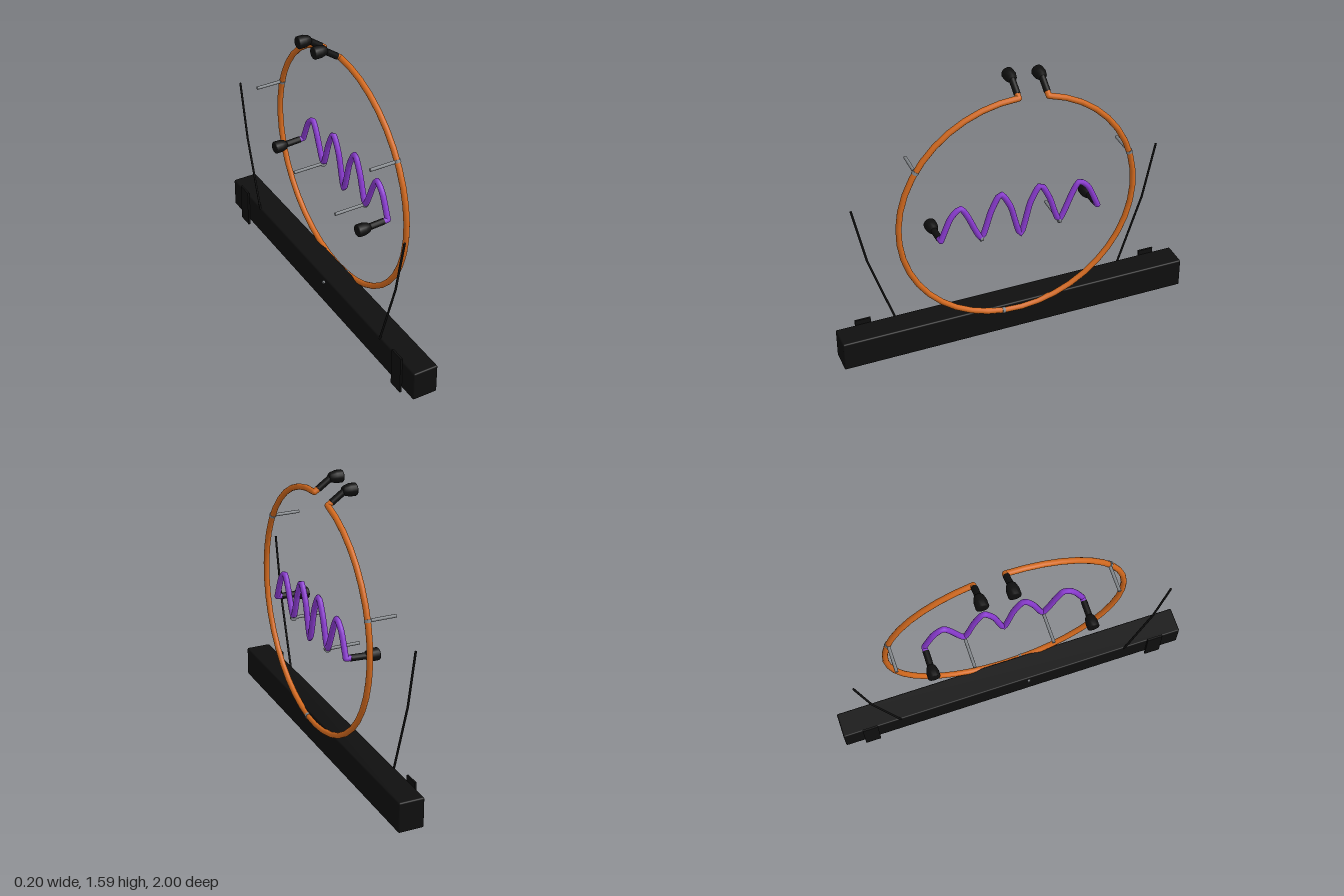
import * as THREE from 'three';
import { RoundedBoxGeometry } from 'three/addons/geometries/RoundedBoxGeometry.js';

const V = (x, y, z) => new THREE.Vector3(x, y, z);

export function createModel() {
  const model = new THREE.Group();
  const mat = (name, color) => {
    const m = new THREE.MeshStandardMaterial({ color });
    m.name = name;
    return m;
  };
  const black = mat('black', 0x0f0f0f);
  const orange = mat('orange', 0xd2691e);
  const purple = mat('purple', 0x8a3bd0);
  const grey = mat('grey', 0x808488);

  const add = (name, geometry, material, pos) => {
    const mesh = new THREE.Mesh(geometry, material);
    mesh.name = name;
    if (pos) mesh.position.copy(pos);
    model.add(mesh);
    return mesh;
  };
  // Straight rod between two points
  const rod = (name, a, b, r, material) => {
    const d = b.clone().sub(a);
    const mesh = add(name, new THREE.CylinderGeometry(r, r, d.length(), 12), material,
      a.clone().add(b).multiplyScalar(0.5));
    mesh.quaternion.setFromUnitVectors(V(0, 1, 0), d.normalize());
    return mesh;
  };
  const joint = (name, p, r, material) => add(name, new THREE.SphereGeometry(r, 12, 8), material, p);
  // Rubber end cap, wide toward the wall (-x)
  const capProfile = [[0, 0], [0.03, 0], [0.034, 0.005], [0.034, 0.038], [0.026, 0.066], [0.018, 0.076], [0, 0.076]]
    .map(([r, y]) => new THREE.Vector2(r, y));
  const endCap = (y, z) => {
    const cap = add('endCap', new THREE.LatheGeometry(capProfile, 16), black, V(-0.103, y, z));
    cap.rotation.z = -Math.PI / 2;
  };

  // Base housing and its wall brackets
  add('baseHousing', new RoundedBoxGeometry(0.142, 0.17, 2, 2, 0.008), black, V(-0.021, 0.115, 0));
  for (const s of [1, -1]) {
    add('wallBracket', new THREE.BoxGeometry(0.011, 0.225, 0.088), black, V(-0.0975, 0.1125, s * 0.845));
  }

  // Open ring tube, running from the top round the left side
  const R = 0.664, CY = 0.829, RX = 0.053, TR = 0.016, gap = 0.25;
  const ringPoint = (a) => V(RX, CY + R * Math.cos(a), R * Math.sin(a));
  const sweep = Math.PI * 2 - gap;
  class RingCurve extends THREE.Curve {
    getPoint(t, target = new THREE.Vector3()) {
      return target.copy(ringPoint(t * sweep));
    }
  }
  add('ringTube', new THREE.TubeGeometry(new RingCurve(), 40, TR, 12), orange);

  // Bent ring ends with sleeves and caps
  for (const a of [0, sweep]) {
    const p = ringPoint(a);
    const bend = p.clone().add(V(-0.02, 0.013, 0));
    const end = p.clone().add(V(-0.095, 0.066, 0));
    joint('ringElbow', p, TR, orange);
    rod('ringEnd', p, bend, TR, orange);
    rod('ringSleeve', bend, end, 0.018, black);
    endCap(end.y, end.z);
  }

  // Zigzag wave tube
  const WX = 0.08;
  const half = [[0.445, 0.752], [0.39, 0.878], [0.335, 0.926], [0.296, 0.868], [0.222, 0.715],
    [0.166, 0.865], [0.112, 0.958], [0.055, 0.865]];
  const wave = [...half, [0, 0.68], ...half.map(([z, y]) => [-z, y]).reverse()];
  const waveCurve = new THREE.CatmullRomCurve3(wave.map(([z, y]) => V(WX, y, z)), false, 'catmullrom', 0.35);
  add('waveTube', new THREE.TubeGeometry(waveCurve, 96, TR, 12), purple);
  for (const s of [1, -1]) {
    const p = V(WX, 0.752, s * 0.445);
    joint('waveElbow', p, TR, purple);
    rod('waveEnd', p, V(0.055, 0.75, p.z), TR, purple);
    rod('waveSleeve', V(0.055, 0.75, p.z), V(-0.04, 0.745, p.z), 0.018, black);
    endCap(0.745, p.z);
  }

  // Standoff pins with collars around the tubes
  const standoff = (p, tangent) => {
    rod('standoffPin', V(-0.103, p.y, p.z), p, 0.009, grey);
    const t = tangent.clone().multiplyScalar(0.008);
    rod('standoffCollar', p.clone().sub(t), p.clone().add(t), 0.0185, grey);
  };
  for (const a of [1.004, Math.PI - 0.135, Math.PI * 2 - 1.265]) {
    standoff(ringPoint(a), V(0, -Math.sin(a), Math.cos(a)));
  }
  for (const s of [1, -1]) standoff(V(WX, 0.712, s * 0.222), V(0, 0, 1));

  // Thin supply wires rising from the base
  for (const s of [1, -1]) {
    const pts = [[0.665, 0.19], [0.8, 0.605], [0.868, 0.937]].map(([z, y]) => V(-0.09, y, s * z));
    rod('supplyWire', pts[0], pts[1], 0.006, black);
    rod('supplyWire', pts[1], pts[2], 0.006, black);
  }

  return model;
}
